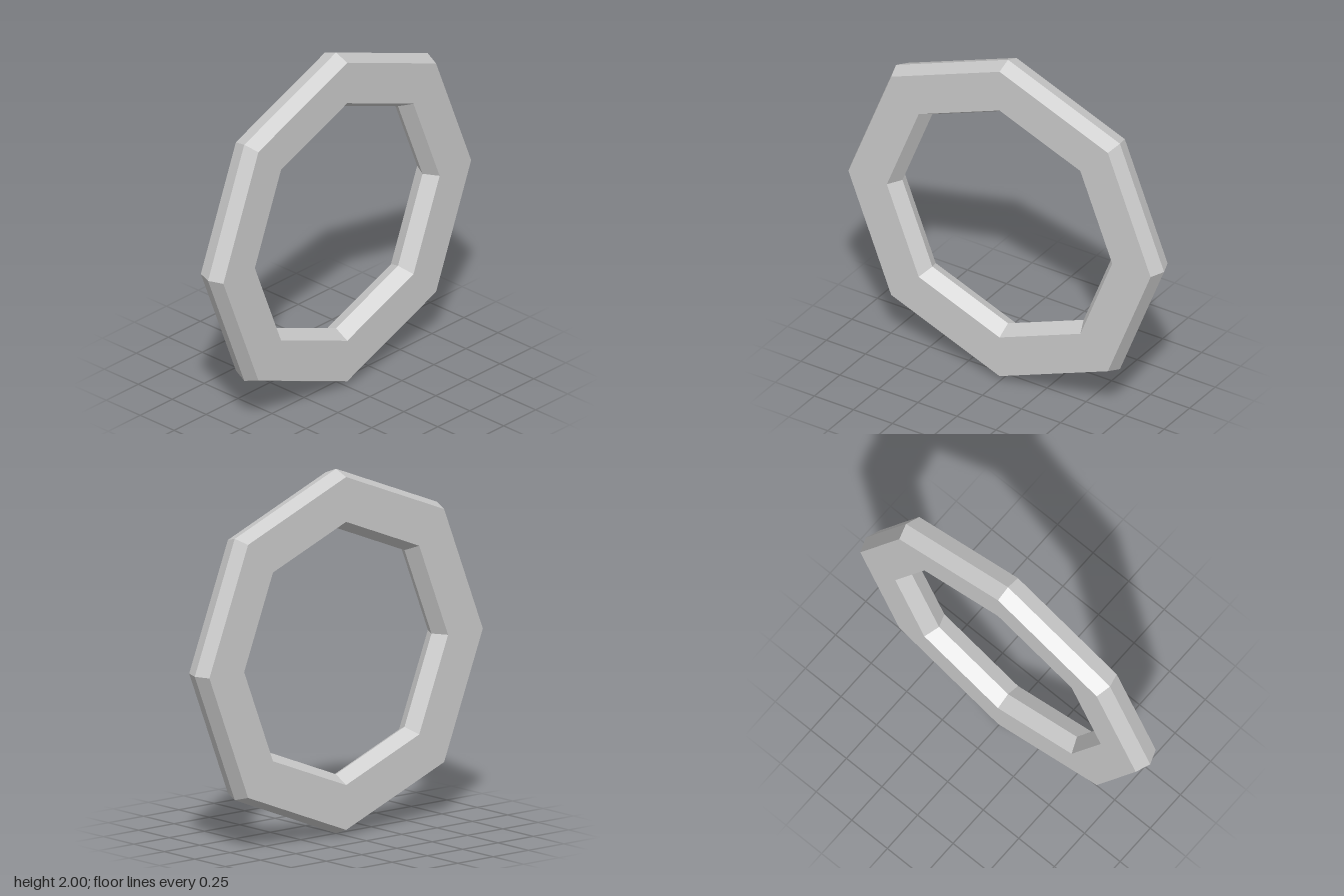
import * as THREE from 'three';

// Hexagonal cross-section of the ring as [x, radius], ridged outside and inside
const section = [
  [0.083, 0.968], [0, 1], [-0.083, 0.968],
  [-0.083, 0.722], [0, 0.676], [0.083, 0.722],
];
const SIDES = 8;

// Sweep the section around the x axis; diagonal corners sit slightly further out
function octagonRing() {
  const n = section.length;
  const positions = [];
  const indices = [];
  for (let i = 0; i < SIDES; i++) {
    const angle = (i / SIDES) * Math.PI * 2;
    const stretch = i % 2 ? 1.014 : 1;
    for (const [x, r] of section) {
      positions.push(x, r * stretch * Math.cos(angle), r * stretch * Math.sin(angle));
    }
    const next = (i + 1) % SIDES;
    for (let j = 0; j < n; j++) {
      const k = (j + 1) % n;
      const a = i * n + j, b = i * n + k, c = next * n + k, d = next * n + j;
      indices.push(a, b, c, a, c, d);
    }
  }
  const indexed = new THREE.BufferGeometry();
  indexed.setAttribute('position', new THREE.Float32BufferAttribute(positions, 3));
  indexed.setIndex(indices);
  const geometry = indexed.toNonIndexed();
  geometry.computeVertexNormals();
  return geometry;
}

export function createModel() {
  const group = new THREE.Group();
  group.name = 'octagonalRing';
  const material = new THREE.MeshStandardMaterial({ color: 0xcccccc, flatShading: true });

  // Upright bevelled ring
  const ring = new THREE.Mesh(octagonRing(), material);
  ring.name = 'ring';
  ring.position.y = 1;
  group.add(ring);
  return group;
}
